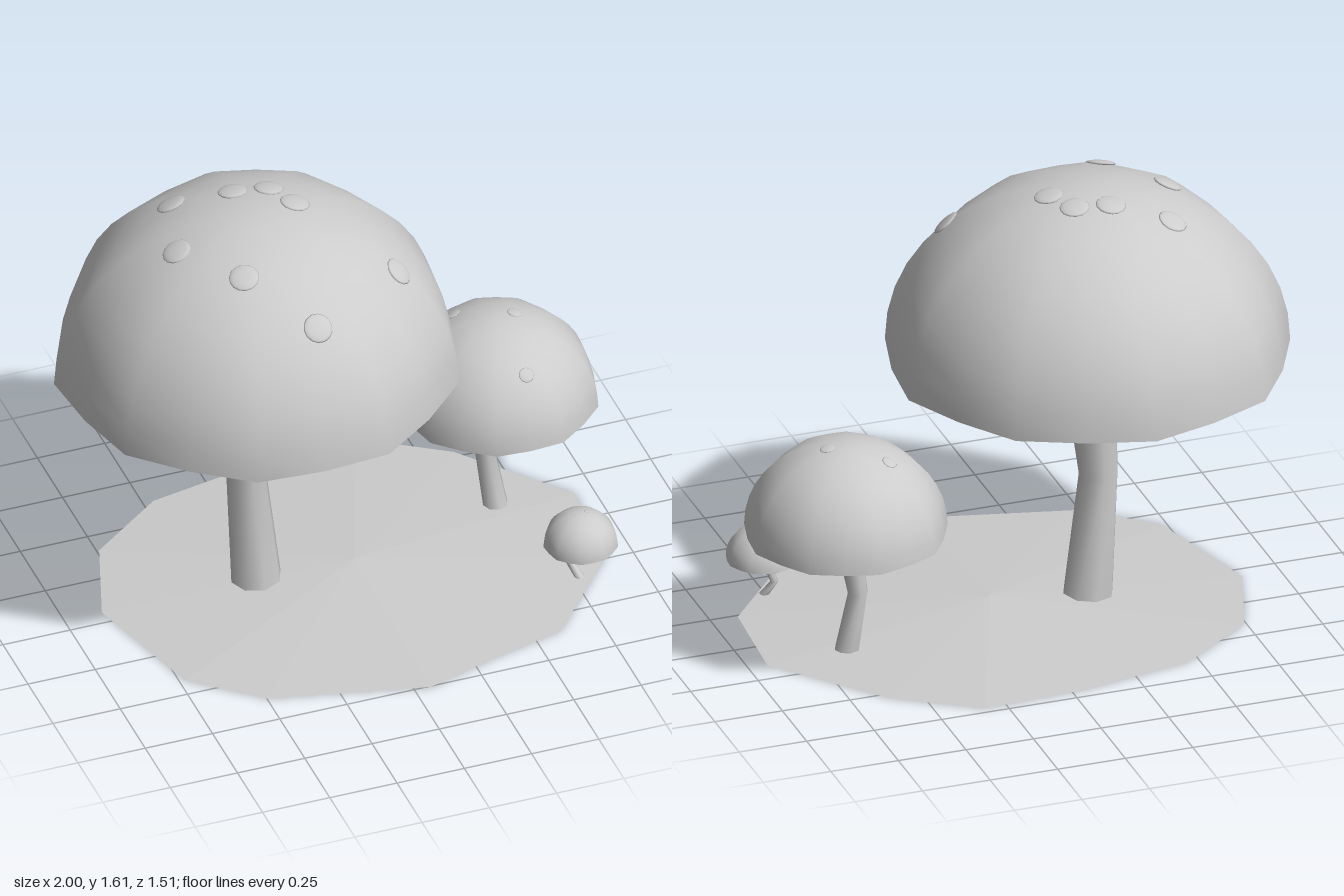
import * as THREE from 'three';
import { toCreasedNormals } from 'three/addons/utils/BufferGeometryUtils.js';

const grey = new THREE.MeshStandardMaterial({ color: 0xcccccc });
grey.name = 'grey';
const greyTwoSided = grey;
greyTwoSided.side = THREE.DoubleSide;

function part(name, geometry) {
  const mesh = new THREE.Mesh(geometry, grey);
  mesh.name = name;
  return mesh;
}

// Dome with a flat underside; its rim is softly nine-cornered
function capGeometry(radius, height) {
  const profile = [new THREE.Vector2(0, 0)];
  for (let i = 0; i <= 10; i++) {
    const a = (i / 10) * Math.PI / 2;
    profile.push(new THREE.Vector2(i === 10 ? 0 : Math.cos(a) * radius, Math.sin(a) * height));
  }
  const geo = new THREE.LatheGeometry(profile, 18, Math.PI);
  const p = geo.attributes.position;
  for (let i = 0; i < p.count; i++) {
    const theta = Math.atan2(p.getX(i), -p.getZ(i));
    const k = 1 - 0.0175 * (1 - Math.cos(9 * theta));
    p.setXYZ(i, p.getX(i) * k, p.getY(i), p.getZ(i) * k);
  }
  return toCreasedNormals(geo, 1);
}

// Bent stem through three rings, each [x, y, z, radius], bottom to top
function stemGeometry(rings) {
  const geo = new THREE.CylinderGeometry(1, 1, 1, 8, 2);
  const p = geo.attributes.position;
  for (let i = 0; i < p.count; i++) {
    const [x, y, z, r] = rings[Math.round((p.getY(i) + 0.5) * 2)];
    p.setXYZ(i, x + p.getX(i) * r, y, z + p.getZ(i) * r);
  }
  return toCreasedNormals(geo, 1);
}

function mushroom({ name, x, y, z, radius, height, gill, gillDrop, stem, spotSize, spots }) {
  const group = new THREE.Group();
  group.name = name;

  group.add(part('stem', stemGeometry(stem)));

  const cap = part('cap', capGeometry(radius, height));
  cap.position.set(x, y, z);
  group.add(cap);

  // Ten gills radiating under the cap
  const inner = gill * 0.15;
  for (let i = 0; i < 10; i++) {
    const geo = new THREE.BoxGeometry(gill - inner, gill * 0.012, gill * 0.03);
    geo.translate((gill + inner) / 2, 0, 0);
    const blade = part('gill', geo);
    blade.position.set(x, y - gillDrop, z);
    blade.rotation.y = (i / 10) * Math.PI * 2;
    group.add(blade);
  }

  // Flattened spots lying on the cap
  for (const [sx, sz] of spots) {
    const dx = sx - x, dz = sz - z;
    const r = radius * 0.985;
    const dy = height * Math.sqrt(1 - (dx * dx + dz * dz) / (r * r));
    const normal = new THREE.Vector3(dx / (r * r), dy / (height * height), dz / (r * r)).normalize();
    const spot = part('spot', new THREE.SphereGeometry(spotSize, 14, 8));
    spot.scale.y = 0.2;
    spot.position.set(sx, y + dy, sz);
    spot.quaternion.setFromUnitVectors(new THREE.Vector3(0, 1, 0), normal);
    group.add(spot);
  }
  return group;
}

// Shallow mound with an uneven outline
function groundGeometry() {
  const rim = [
    [0.9, 0.24], [0.6, 0.6], [0.33, 0.67], [0.06, 0.755], [-0.5, 0.62], [-0.73, 0.42], [-0.86, -0.06],
    [-0.74, -0.41], [-0.46, -0.62], [-0.05, -0.7], [0.33, -0.72], [0.62, -0.53], [0.93, -0.15],
  ];
  const v = [];
  rim.forEach(([x, z], i) => {
    const [nx, nz] = rim[(i + 1) % rim.length];
    v.push(0.05, 0.05, 0.01, nx, 0, nz, x, 0, z);
  });
  // Wind every face upward
  for (let i = 0; i < v.length; i += 9) {
    const ax = v[i + 3] - v[i], az = v[i + 5] - v[i + 2];
    const bx = v[i + 6] - v[i], bz = v[i + 8] - v[i + 2];
    if (az * bx - ax * bz < 0) {
      for (let k = 3; k < 6; k++) [v[i + k], v[i + k + 3]] = [v[i + k + 3], v[i + k]];
    }
  }
  const geo = new THREE.BufferGeometry();
  geo.setAttribute('position', new THREE.Float32BufferAttribute(v, 3));
  geo.computeVertexNormals();
  return geo;
}

export function createModel() {
  const model = new THREE.Group();
  model.name = 'mushroomCluster';
  model.add(part('ground', groundGeometry()));

  model.add(mushroom({
    name: 'largeMushroom', x: -0.295, y: 0.95, z: -0.035, radius: 0.717, height: 0.66,
    gill: 0.625, gillDrop: 0.014,
    stem: [[-0.295, 0.02, -0.037, 0.092], [-0.33, 0.5, -0.05, 0.072], [-0.295, 0.95, -0.035, 0.098]],
    spotSize: 0.053,
    spots: [[-0.53, -0.26], [-0.33, -0.18], [-0.205, -0.155], [-0.15, -0.04],
      [-0.61, 0.015], [-0.445, 0.245], [0.135, 0.23], [-0.25, 0.46]],
  }));

  model.add(mushroom({
    name: 'mediumMushroom', x: 0.645, y: 0.48, z: -0.163, radius: 0.36, height: 0.345,
    gill: 0.315, gillDrop: 0.012,
    stem: [[0.64, 0.025, -0.163, 0.045], [0.61, 0.25, -0.19, 0.036], [0.642, 0.48, -0.165, 0.049]],
    spotSize: 0.027,
    spots: [[0.525, -0.28], [0.715, -0.17], [0.665, 0.08]],
  }));

  model.add(mushroom({
    name: 'smallMushroom', x: 0.77, y: 0.16, z: 0.342, radius: 0.132, height: 0.13,
    gill: 0.11, gillDrop: 0.012,
    stem: [[0.765, 0.02, 0.343, 0.018], [0.737, 0.075, 0.317, 0.014], [0.765, 0.16, 0.343, 0.018]],
    spotSize: 0.01,
    spots: [[0.795, 0.338]],
  }));
  return model;
}
